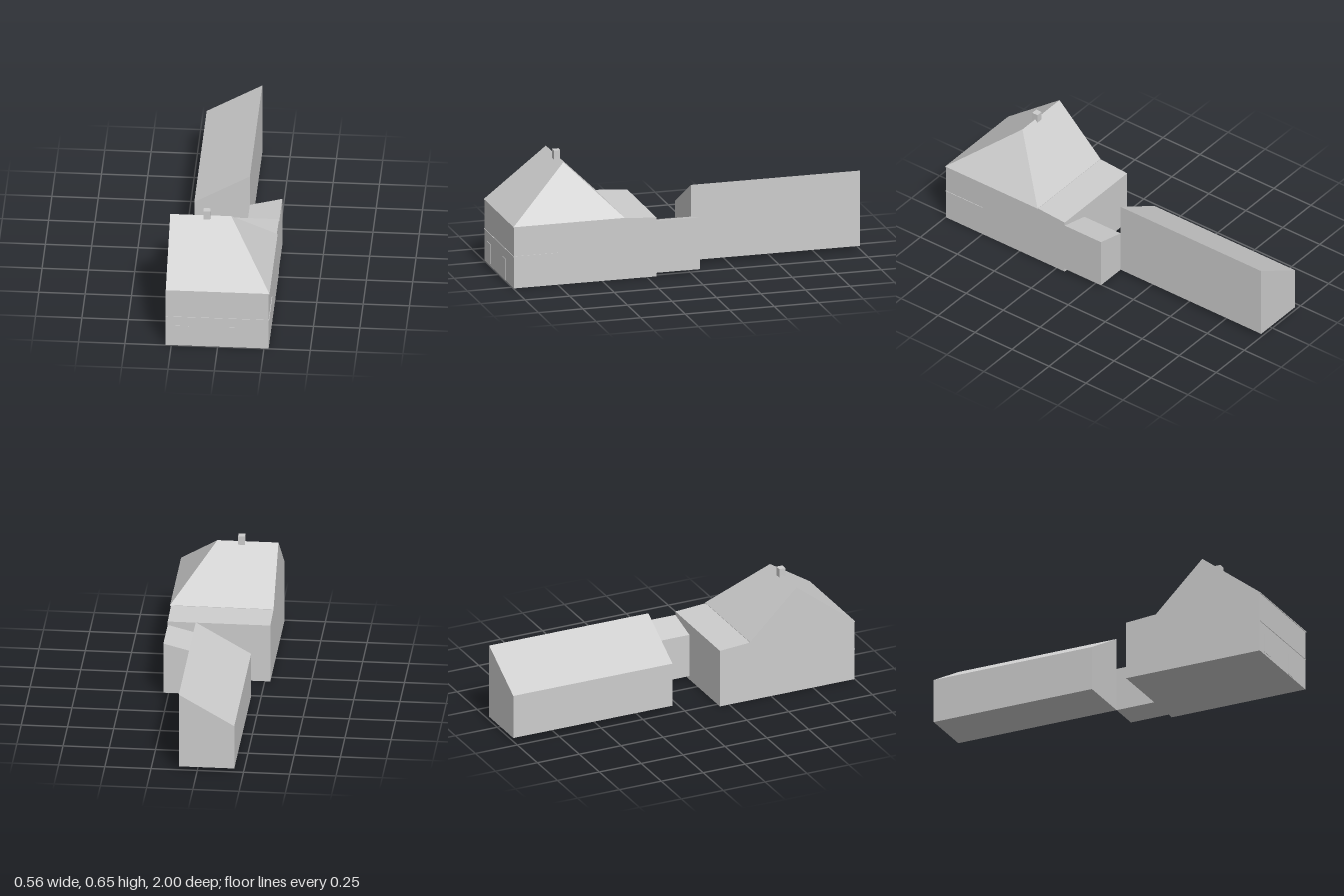
import * as THREE from 'three';
import { ConvexGeometry } from 'three/addons/geometries/ConvexGeometry.js';

export function createModel() {
  const model = new THREE.Group();
  model.name = 'farmhouse';
  const plaster = new THREE.MeshStandardMaterial({ color: 0xcccccc });
  plaster.name = 'pale grey';

  const add = (name, geometry) => {
    const mesh = new THREE.Mesh(geometry, plaster);
    mesh.name = name;
    model.add(mesh);
    return mesh;
  };
  // Flat-faced solid spanning its corner points
  const solid = (name, points) =>
    add(name, new ConvexGeometry(points.map((p) => new THREE.Vector3(...p))));
  // Box given by its limits
  const block = (name, x0, x1, y0, y1, z0, z1) =>
    add(name, new THREE.BoxGeometry(x1 - x0, y1 - y0, z1 - z0))
      .position.set((x0 + x1) / 2, (y0 + y1) / 2, (z0 + z1) / 2);
  // Outbuilding with a single roof slope rising towards +x
  const leanTo = (name, x0, x1, base, low, high, z0, z1) =>
    solid(name, [z0, z1].flatMap((z) => [[x0, base, z], [x1, base, z], [x1, high, z], [x0, low, z]]));

  // House walls, with the shallow rear roof falling to the back
  const profile = [[0.195, 0], [0.997, 0], [0.997, 0.343], [0.375, 0.343], [0.195, 0.33]];
  solid('houseWalls', [-0.28, 0.275].flatMap((x) => profile.map(([z, y]) => [x, y, z])));

  // Main roof: gable at -x, hip at +x, with a thin eave edge
  const eaves = [0.34, 0.345].flatMap((y) =>
    [[-0.28, y, 0.375], [-0.28, y, 1], [0.28, y, 1], [0.28, y, 0.375]]);
  solid('mainRoof', [...eaves, [-0.28, 0.615, 0.652], [0.05, 0.615, 0.652]]);

  block('chimney', -0.1, -0.063, 0.6, 0.65, 0.636, 0.672);

  // Floor band across the front and round the corner
  block('frontBand', -0.28, 0.278, 0.176, 0.18, 0.99, 1);
  block('sideBand', 0.27, 0.278, 0.176, 0.18, 0.75, 0.995);

  // Front doors
  block('doorRight', -0.227, -0.155, 0.014, 0.123, 0.993, 0.999);
  block('doorLeft', 0.063, 0.125, 0.005, 0.123, 0.993, 0.999);

  // Link building and long barn behind the house
  leanTo('linkBuilding', 0.1, 0.275, 0.02, 0.265, 0.31, -0.05, 0.195);
  leanTo('barn', -0.2, 0.1, 0.02, 0.27, 0.443, -1, -0.05);

  return model;
}
